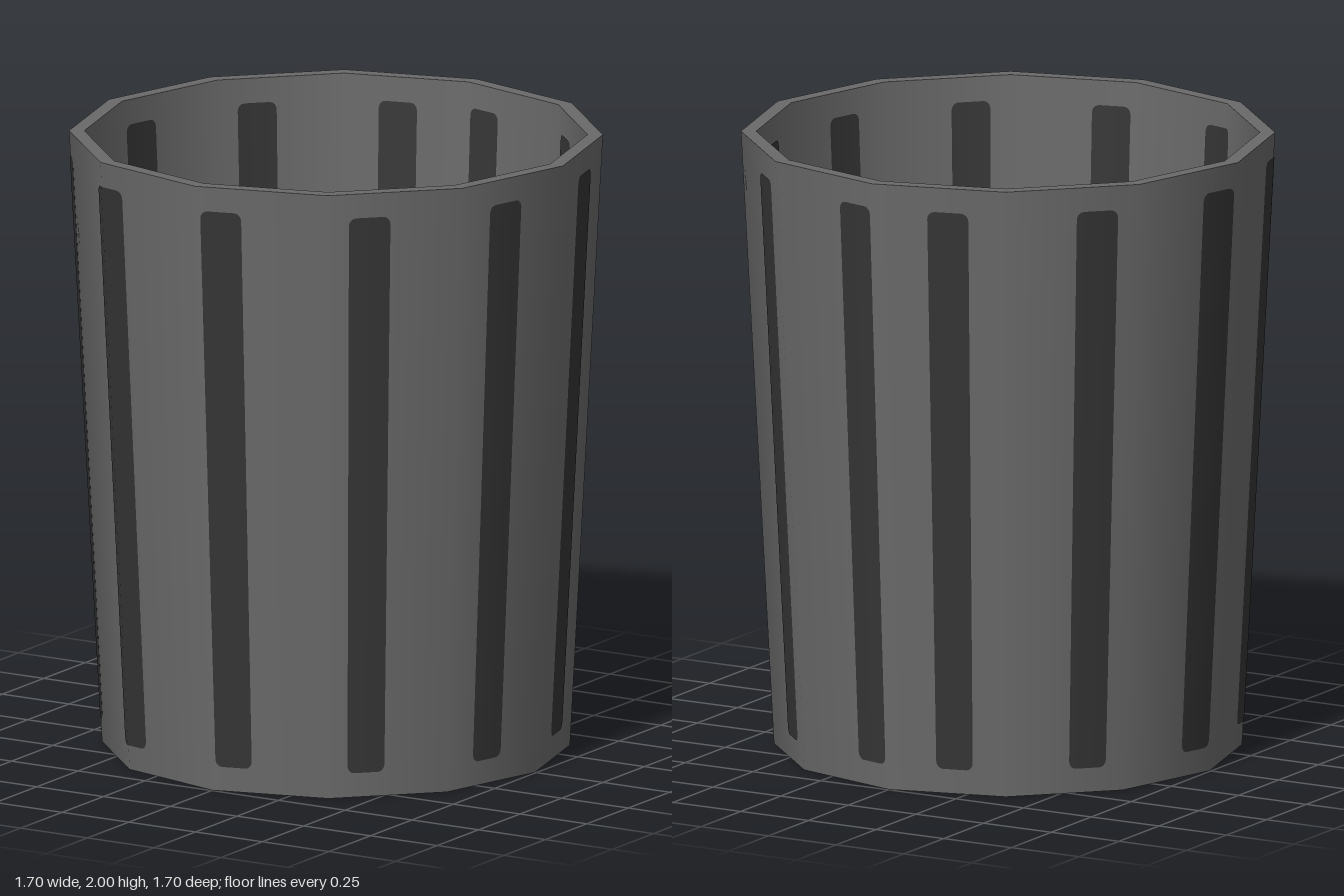
import * as THREE from 'three';

const SIDES = 12;
const HEIGHT = 2;
const FLOOR = 0.02;
const BOTTOM_R = 0.745, TOP_R = 0.85;
const INNER = 0.943; // inner wall radius as a share of the outer
const SLOPE = (TOP_R - BOTTOM_R) / HEIGHT;

const outerRadius = (y) => BOTTOM_R + SLOPE * y;

// Point on the 12-sided ring of radius 1; t counts sides from +x towards +z
function ringPoint(t) {
  const i = Math.floor(t), f = t - i, step = (2 * Math.PI) / SIDES;
  const a = i * step, b = (i + 1) * step;
  return [
    Math.cos(a) * (1 - f) + Math.cos(b) * f,
    Math.sin(a) * (1 - f) + Math.sin(b) * f,
  ];
}

// Rounded upright stripe that bends round the corners of the wall
function stripeGeometry(center, inside) {
  const half = 0.155, corner = 0.055, cornerY = 0.025, low = 0.08, high = 1.92;
  const scale = inside ? INNER : 1, lift = inside ? -0.002 : 0.002;
  const sign = inside ? -1 : 1;

  const columns = [];
  for (let k = 0; k <= 4; k++) {
    const inset = corner * (1 - Math.cos((k / 4) * Math.PI / 2));
    columns.push(center - half + inset, center + half - inset);
  }
  const fold = Math.round(center);
  if (Math.abs(fold - center) < half) columns.push(fold);
  columns.sort((a, b) => a - b);

  const positions = [], normals = [], index = [];
  columns.forEach((t, i) => {
    const s = Math.max(0, Math.abs(t - center) - (half - corner)) / corner;
    const inset = cornerY * (1 - Math.sqrt(Math.max(0, 1 - s * s)));
    const [x, z] = ringPoint(t);
    const n = new THREE.Vector3(x, -SLOPE, z).normalize().multiplyScalar(sign);
    for (const y of [low + inset, high - inset]) {
      const r = outerRadius(y) * scale + lift;
      positions.push(x * r, y, z * r);
      normals.push(n.x, n.y, n.z);
    }
    if (i > 0) {
      const a = 2 * (i - 1), b = 2 * i;
      if (inside) index.push(a, b, a + 1, a + 1, b, b + 1);
      else index.push(b, a, a + 1, b, a + 1, b + 1);
    }
  });

  const geometry = new THREE.BufferGeometry();
  geometry.setAttribute('position', new THREE.Float32BufferAttribute(positions, 3));
  geometry.setAttribute('normal', new THREE.Float32BufferAttribute(normals, 3));
  geometry.setIndex(index);
  return geometry;
}

export function createModel() {
  const model = new THREE.Group();
  model.name = 'wasteBin';

  const bodyMaterial = new THREE.MeshStandardMaterial({ color: 0x6a6a6a });
  bodyMaterial.name = 'mid grey';
  const stripeMaterial = new THREE.MeshStandardMaterial({ color: 0x353535 });
  stripeMaterial.name = 'dark grey';

  function add(parent, name, geometry, material) {
    const mesh = new THREE.Mesh(geometry, material);
    mesh.name = name;
    parent.add(mesh);
  }

  // Body: one ring per surface, so edges stay sharp and walls smooth
  const innerBottom = outerRadius(FLOOR) * INNER, innerTop = TOP_R * INNER;
  const surfaces = {
    outerWall: [[BOTTOM_R, 0], [TOP_R, HEIGHT]],
    rim: [[TOP_R, HEIGHT], [innerTop, HEIGHT]],
    innerWall: [[innerTop, HEIGHT], [innerBottom, FLOOR]],
    floor: [[innerBottom, FLOOR], [0, FLOOR]],
    base: [[0, 0], [BOTTOM_R, 0]],
  };
  for (const [name, profile] of Object.entries(surfaces)) {
    const points = profile.map(([r, y]) => new THREE.Vector2(r, y));
    add(model, name, new THREE.LatheGeometry(points, SIDES), bodyMaterial);
  }

  // Eleven stripes, outside and inside, with a narrower gap at the back seam
  const stripes = new THREE.Group();
  stripes.name = 'stripes';
  model.add(stripes);
  for (let k = -5; k <= 5; k++) {
    const center = 2.81 + 1.125 * k;
    add(stripes, 'outerStripe', stripeGeometry(center, false), stripeMaterial);
    add(stripes, 'innerStripe', stripeGeometry(center, true), stripeMaterial);
  }
  return model;
}
